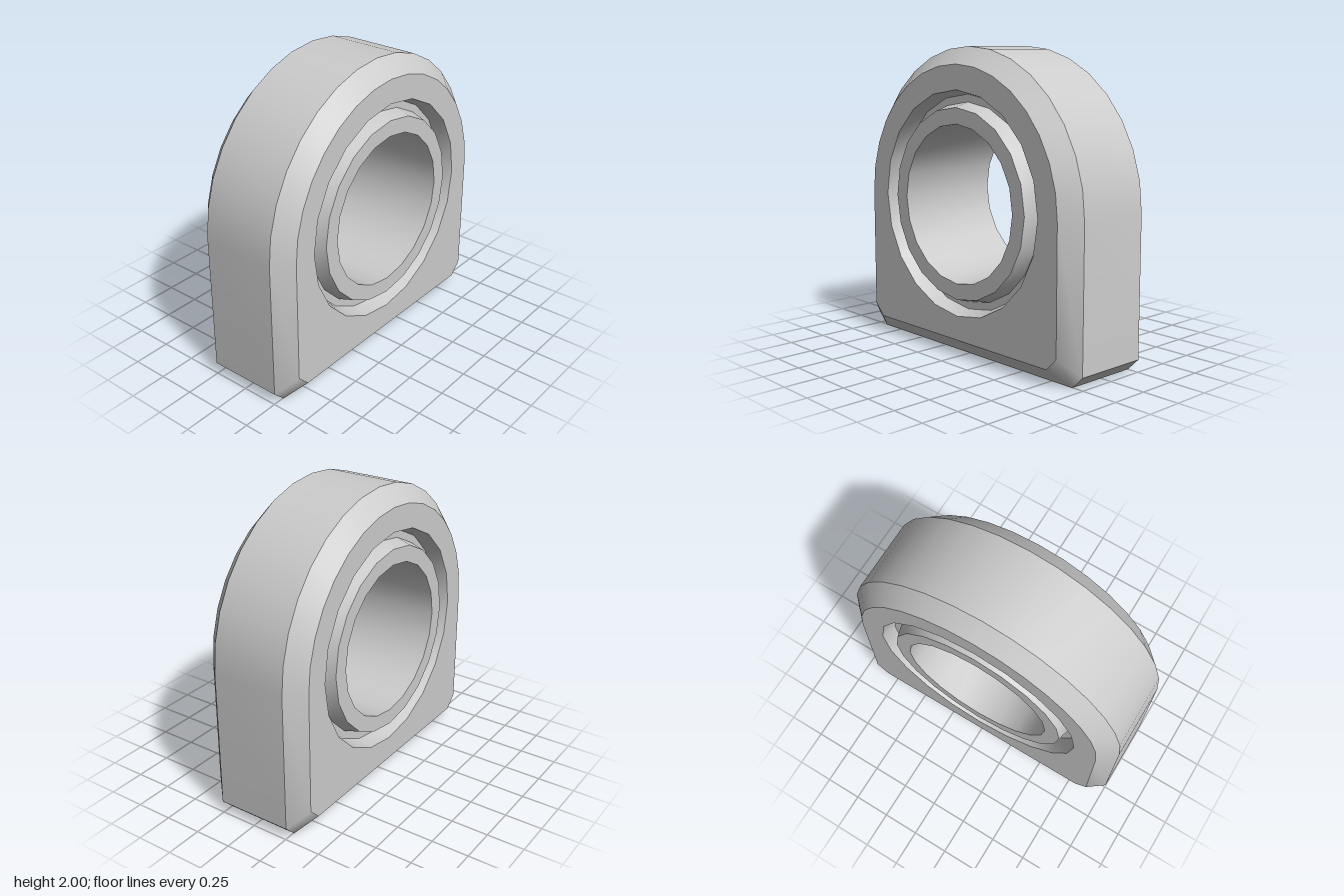
import * as THREE from 'three';
import { toCreasedNormals } from 'three/addons/utils/BufferGeometryUtils.js';

const HALF = 0.365;      // half thickness
const BEVEL = 0.11;      // edge bevel
const CORNER = 0.08;     // chamfer of the two bottom corners
const ARC_STEPS = 16, RING_SIDES = 20;
const GROOVE_R = 0.73, GROOVE_DEPTH = 0.1, BORE_R = 0.515;

// Arch outline as [z, y] points, shrunk by an inset
function outline(inset) {
  const r = 1 - inset, pts = [];
  for (let i = 0; i <= ARC_STEPS; i++) {
    const a = (i / ARC_STEPS) * Math.PI;
    pts.push([r * Math.cos(a), 1 + r * Math.sin(a)]);
  }
  pts.push([-r, inset + CORNER], [-r + CORNER, inset], [r - CORNER, inset], [r, inset + CORNER]);
  return pts;
}

// Outer wall and bevels, lofted along x
function shellGeometry() {
  const sections = [[-HALF, BEVEL], [-HALF + BEVEL, 0], [HALF - BEVEL, 0], [HALF, BEVEL]];
  const pos = [], idx = [];
  const n = outline(0).length;
  sections.forEach(([x, inset], s) => {
    outline(inset).forEach(([z, y]) => pos.push(x, y, z));
    if (s === 0) return;
    for (let i = 0; i < n; i++) {
      const j = (i + 1) % n, a = (s - 1) * n + i, b = (s - 1) * n + j;
      idx.push(a, a + n, b, b, a + n, b + n);
    }
  });
  const g = new THREE.BufferGeometry();
  g.setAttribute('position', new THREE.Float32BufferAttribute(pos, 3));
  g.setIndex(idx);
  return toCreasedNormals(g, 0.6);
}

// Flat side face with the round opening
function faceGeometry(side) {
  const shape = new THREE.Shape(outline(BEVEL).map(([z, y]) => new THREE.Vector2(z, y)));
  const hole = [];
  for (let i = 0; i < RING_SIDES; i++) {
    const a = (i / RING_SIDES) * Math.PI * 2;
    hole.push(new THREE.Vector2(GROOVE_R * Math.cos(a), 1 + GROOVE_R * Math.sin(a)));
  }
  shape.holes.push(new THREE.Path(hole));
  return new THREE.ShapeGeometry(shape).rotateY(side * Math.PI / 2).translate(side * HALF, 0, 0);
}

// Grooves, ring faces and bore as one turned profile
function ringGeometry() {
  const floor = HALF - GROOVE_DEPTH;
  const half = [[GROOVE_R, HALF], [0.7, floor], [0.65, floor], [0.62, HALF], [BORE_R, HALF]];
  const mirrored = half.map(([r, h]) => [r, -h]).reverse();
  const profile = [...half, ...mirrored].map(([r, h]) => new THREE.Vector2(r, h));
  const g = new THREE.LatheGeometry(profile, RING_SIDES).rotateZ(-Math.PI / 2).translate(0, 1, 0);
  return toCreasedNormals(g, 0.6);
}

export function createModel() {
  const material = new THREE.MeshStandardMaterial({ color: 0xcccccc });
  const model = new THREE.Group();
  model.name = 'bearingBlock';
  const add = (name, geometry) => {
    const mesh = new THREE.Mesh(geometry, material);
    mesh.name = name;
    model.add(mesh);
  };
  add('housingShell', shellGeometry());
  add('leftFace', faceGeometry(1));
  add('rightFace', faceGeometry(-1));
  add('boreRing', ringGeometry());
  return model;
}
